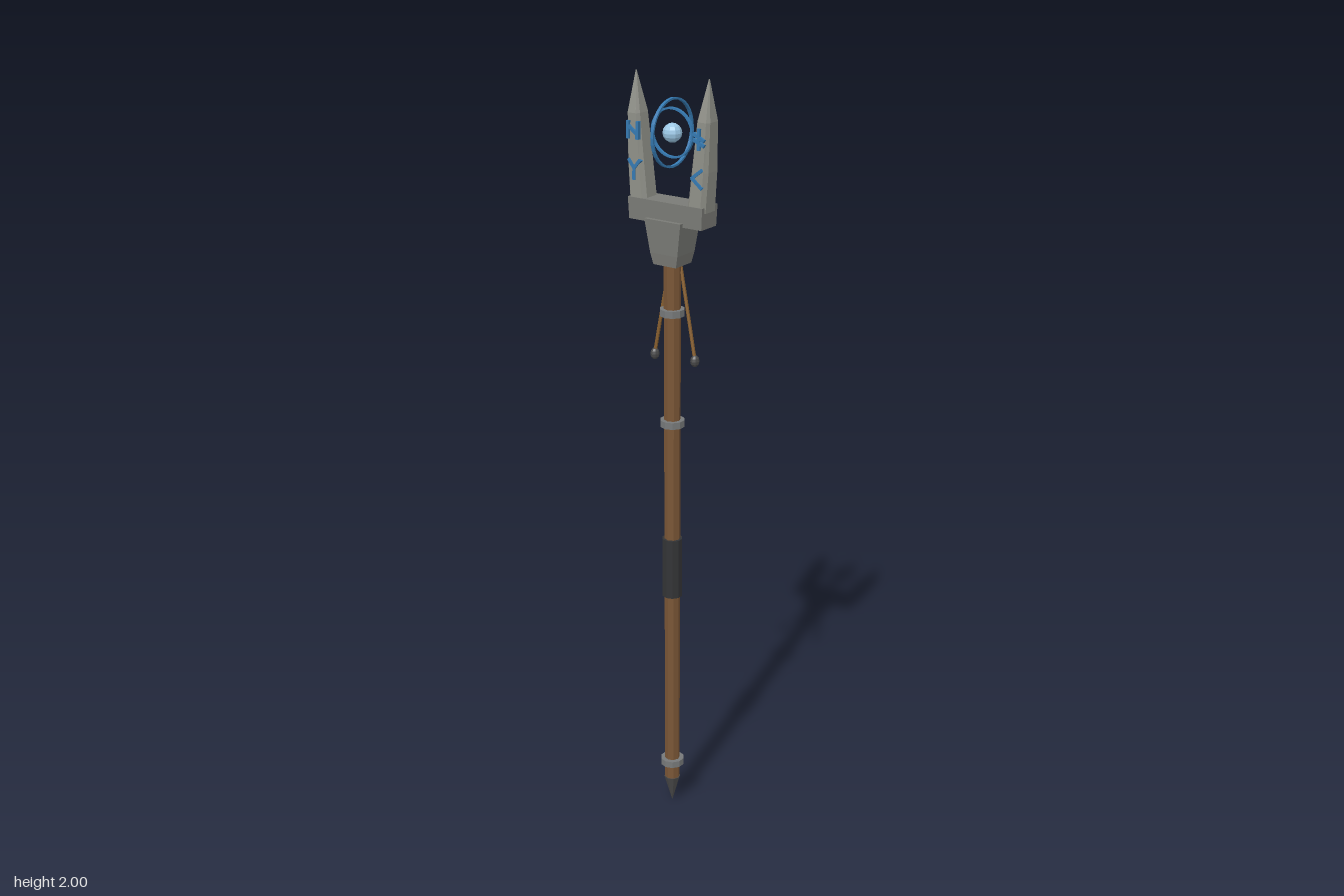
import * as THREE from 'three';

const mat = (color) => new THREE.MeshStandardMaterial({ color, flatShading: true });
const wood = mat(0x7a5636), metal = mat(0x77797a), darkMetal = mat(0x4a4a4a), leather = mat(0x333436);
const stone = mat(0x7a7b76), paleStone = mat(0x8e8f87), blue = mat(0x3478b0), glow = mat(0x9cc8e6), rope = mat(0x8a6130);

// Box-like cross-section with corners cut by c, counted from +x towards +z
function section(y, cx, hx, hz, c = 0) {
  const a = hx * (1 - c), b = hz * (1 - c);
  const pts = c
    ? [[hx, -b], [hx, b], [a, hz], [-a, hz], [-hx, b], [-hx, -b], [-a, -hz], [a, -hz]]
    : [[hx, -hz], [hx, hz], [-hx, hz], [-hx, -hz]];
  return pts.map(([x, z]) => [cx + x, y, z]);
}

// Closed solid through cross-sections listed from bottom to top
function loft(rings) {
  const n = rings[0].length, index = [], last = (rings.length - 1) * n;
  for (let i = 0; i < rings.length - 1; i++) {
    for (let j = 0; j < n; j++) {
      const a = i * n + j, b = i * n + (j + 1) % n;
      index.push(a, a + n, b, b, a + n, b + n);
    }
  }
  for (let j = 1; j < n - 1; j++) index.push(0, j, j + 1, last, last + j + 1, last + j);
  const g = new THREE.BufferGeometry();
  g.setAttribute('position', new THREE.Float32BufferAttribute(rings.flat(2), 3));
  g.setIndex(index);
  g.computeVertexNormals();
  return g;
}

// Thin flat hoop around the y axis
function hoop(r, width, thick) {
  const h = width / 2;
  const profile = [[r - thick, -h], [r, -h], [r, h], [r - thick, h], [r - thick, -h]];
  return new THREE.LatheGeometry(profile.map(([x, y]) => new THREE.Vector2(x, y)), 32);
}

export function createModel() {
  const model = new THREE.Group();
  const add = (name, geometry, material, x = 0, y = 0, z = 0, parent = model) => {
    const m = new THREE.Mesh(geometry, material);
    m.name = name;
    m.position.set(x, y, z);
    parent.add(m);
    return m;
  };

  // Shaft, foot spike and grip
  add('shaft', new THREE.CylinderGeometry(0.022, 0.02, 1.48, 8), wood, 0, 0.81);
  add('footSpike', new THREE.CylinderGeometry(0.022, 0.001, 0.075, 8), darkMetal, 0, 0.0375);
  add('grip', new THREE.CylinderGeometry(0.027, 0.027, 0.165, 10), leather, 0, 0.71);
  for (const y of [0.125, 1.115, 1.41]) {
    add('shaftBand', new THREE.CylinderGeometry(0.032, 0.032, 0.018, 10), metal, 0, y);
  }

  // Head: tapered collar and crossbar
  add('collar', loft([
    section(1.535, 0, 0.034, 0.033), section(1.565, 0, 0.041, 0.037), section(1.65, 0, 0.054, 0.043),
  ]), stone);
  add('crossbar', loft([section(1.64, 0, 0.108, 0.032), section(1.695, 0, 0.111, 0.033)]), stone);

  // Prongs, leaning outward to a point
  for (const s of [-1, 1]) {
    add(s > 0 ? 'leftProng' : 'rightProng', loft([
      section(1.68, s * 0.086, 0.026, 0.031, 0.35),
      section(1.78, s * 0.095, 0.024, 0.029, 0.35),
      section(1.9, s * 0.103, 0.0185, 0.025, 0.35),
      section(2.0, s * 0.107, 0.001, 0.001, 0.35),
    ]), paleStone);
  }

  // Carved marks: strokes x1, y1, x2, y2 around each mark's centre
  const marks = [
    [-0.097, 1.86, [[-0.014, -0.02, -0.014, 0.02], [0.014, -0.02, 0.014, 0.02], [-0.014, 0.01, 0.014, -0.01]]],
    [-0.093, 1.765, [[0, -0.025, 0, 0.004], [0, 0.002, -0.016, 0.022], [0, 0.002, 0.016, 0.022]]],
    [0.098, 1.86, [[0, -0.024, 0, 0.024], [-0.014, 0.012, 0.014, -0.002], [-0.014, -0.002, 0.014, -0.014]]],
    [0.093, 1.765, [[-0.014, 0, 0.014, 0.022], [-0.014, 0, 0.014, -0.022]]],
  ];
  for (const [cx, cy, strokes] of marks) {
    const mark = new THREE.Group();
    mark.name = 'carvedMark';
    mark.position.set(cx, cy, 0.0275);
    mark.rotation.x = -0.03;
    model.add(mark);
    for (const [x1, y1, x2, y2] of strokes) {
      const len = Math.hypot(x2 - x1, y2 - y1) + 0.004;
      const bar = add('markStroke', new THREE.BoxGeometry(len, 0.008, 0.01), blue, (x1 + x2) / 2, (y1 + y2) / 2, 0, mark);
      bar.rotation.z = Math.atan2(y2 - y1, x2 - x1);
    }
  }

  // Floating orb with two crossed hoops
  add('orb', new THREE.SphereGeometry(0.024, 10, 8), glow, 0, 1.86);
  add('smallHoop', hoop(0.062, 0.008, 0.005).rotateX(Math.PI / 2), blue, 0, 1.86);
  add('largeHoop', hoop(0.085, 0.008, 0.005).rotateZ(Math.PI / 2), blue, 0, 1.86);

  // Hanging cords with beads
  for (const [x, z, name] of [[-0.06, -0.008, 'rightCord'], [0.058, -0.016, 'leftCord']]) {
    const path = new THREE.CatmullRomCurve3([
      new THREE.Vector3(x * 0.2, 1.54, z),
      new THREE.Vector3(x * 0.62, 1.41, z),
      new THREE.Vector3(x, 1.29, z),
    ]);
    add(name, new THREE.TubeGeometry(path, 8, 0.0045, 6), rope);
    add(name + 'Bead', new THREE.SphereGeometry(0.012, 8, 6), darkMetal, x, 1.287, z).scale.y = 1.3;
  }
  return model;
}
